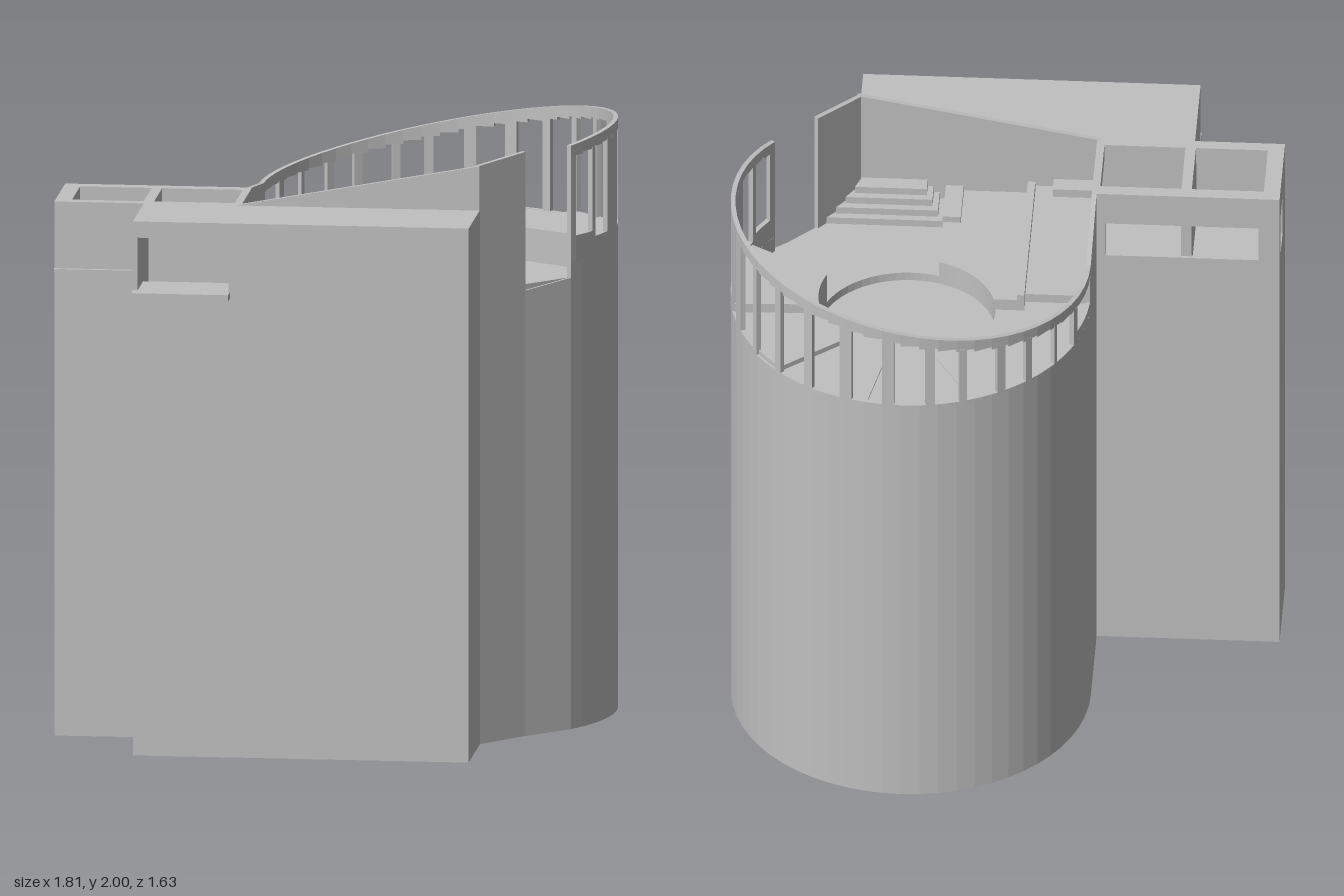
import * as THREE from 'three';
import { mergeGeometries } from 'three/addons/utils/BufferGeometryUtils.js';

const T = 0.016;                                  // wall thickness
const tower = { x: 0.3, z: -0.22, r: 0.6 };
const well = { x: 0.31, z: -0.27, r: 0.295 };
const BASE = 1.5;                                 // underside of the floors
const rad = THREE.MathUtils.degToRad;

// point on a circle, angle counted from +x towards the back
const on = (c, deg, r = c.r) => [c.x + r * Math.cos(rad(deg)), c.z - r * Math.sin(rad(deg))];

function arcPoints(c, a, b, r = c.r) {
  const n = Math.max(1, Math.ceil(Math.abs(b - a) / 6));
  return Array.from({ length: n + 1 }, (_, i) => on(c, a + (b - a) * i / n, r));
}

// upright panel from p to q (left to right seen from outside); holes are [u0, u1, y0, y1]
function panel(p, q, y0, ya, yb = ya, holes = [], t = T) {
  const dx = q[0] - p[0], dz = q[1] - p[1], len = Math.hypot(dx, dz);
  const shape = new THREE.Shape([[0, y0], [len, y0], [len, yb], [0, ya]].map(v => new THREE.Vector2(...v)));
  for (const [u0, u1, v0, v1] of holes) {
    shape.holes.push(new THREE.Path([[u0, v0], [u0, v1], [u1, v1], [u1, v0]].map(v => new THREE.Vector2(...v))));
  }
  const g = new THREE.ExtrudeGeometry(shape, { depth: t, bevelEnabled: false });
  return g.translate(0, 0, -t).rotateY(Math.atan2(-dz, dx)).translate(p[0], 0, p[1]);
}

// curved tower wall between two angles, made of short panels
function curved(a, b, bottom, top) {
  const n = Math.max(1, Math.ceil((b - a) / 6)), parts = [];
  for (let i = 0; i < n; i++) {
    const d0 = a + (b - a) * i / n, d1 = a + (b - a) * (i + 1) / n;
    parts.push(panel(on(tower, d0), on(tower, d1), bottom, top(d0), top(d1)));
  }
  return mergeGeometries(parts);
}

// flat slab from a plan outline of [x, z] points
function slab(points, y0, y1, holes = []) {
  const path = pts => pts.map(([x, z]) => new THREE.Vector2(x, -z));
  const shape = new THREE.Shape(path(points));
  holes.forEach(h => shape.holes.push(new THREE.Path(path(h))));
  return new THREE.ExtrudeGeometry(shape, { depth: y1 - y0, bevelEnabled: false })
    .rotateX(-Math.PI / 2).translate(0, y0, 0);
}
const rect = (x0, x1, z0, z1) => [[x0, z1], [x1, z1], [x1, z0], [x0, z0]];

export function createModel() {
  const model = new THREE.Group();
  const concrete = new THREE.MeshStandardMaterial({ color: 0xc0c0c0 });
  concrete.name = 'concrete grey';
  concrete.side = THREE.DoubleSide;
  const add = (name, ...geos) => {
    const mesh = new THREE.Mesh(geos.length > 1 ? mergeGeometries(geos) : geos[0], concrete);
    mesh.name = name;
    model.add(mesh);
  };

  // round tower shell, open underneath
  const rim = d => 1.88 + 0.12 * Math.cos(rad(d));
  const cornerA = [0.515, 0.43], cornerB = [0.65, 0.27], start = on(tower, -36), end = on(tower, 180);
  add('towerWall', curved(-36, 180, 0, () => 1.59));
  add('towerLeftWall',
    panel(end, [-0.3, 0.12], 0, 1.76, 1.81),
    panel([-0.3, 0.12], [-0.3, 0.43], BASE, 1.81));
  add('towerRightWall', panel(cornerA, cornerB, 0, 1.96, 1.98));
  add('entranceSill', panel(cornerB, start, 0, 1.51, 1.53));

  // window band: sloping rim beam, sills and posts between the windows
  const windows = [[-33.4, -24.6], [-22.5, -13.5], [0, 9.6], [11.5, 17.5], [22.5, 32], [34.5, 44.4],
    [47, 57], [60, 70], [74, 84], [88, 98], [101, 109], [111.5, 122], [125, 133], [135.5, 146], [147.5, 158]];
  const beamBottom = d => rim(d) - 0.035;
  const beam = [];
  const rimAngles = Array.from({ length: 37 }, (_, i) => -36 + i * 6);
  for (let i = 0; i < 36; i++) {
    const a = rimAngles[i], b = rimAngles[i + 1];
    beam.push(panel(on(tower, a), on(tower, b), Math.min(beamBottom(a), beamBottom(b)), rim(a), rim(b)));
  }
  add('rimBeam', ...beam);
  const posts = [], sills = [];
  let last = -36;
  for (const [a, b] of windows) {
    posts.push(curved(last, a, 1.58, beamBottom));
    const sill = a < -30 ? 1.67 : a < -10 ? 1.65 : a < 10 ? 1.645 : a < 30 ? 1.61 : 1.592;
    sills.push(curved(a, b, 1.58, () => sill));
    last = b;
  }
  posts.push(curved(158, 161, 1.58, beamBottom), curved(177, 180, 1.58, beamBottom));
  sills.push(curved(161, 177, 1.58, () => 1.63));
  add('windowPosts', ...posts);
  add('windowSills', ...sills);

  // front slab volume
  add('frontWall', panel([-0.61, 0.76], [0.515, 0.76], 0, 1.81, 1.81, [[0.015, 0.32, 1.575, 1.755]]));
  add('frontVolumeSides',
    panel([0.515, 0.76], cornerA, 0, 1.81),
    panel([-0.61, 0.44], [-0.61, 0.76], 0, 1.81));
  add('frontRoof', slab(rect(-0.61, 0.515, 0.43, 0.76), 1.79, 1.81));
  add('balconyLedge', slab(rect(-0.61, -0.285, 0.6, 0.815), 1.555, 1.577));
  add('balconyInnerWall', slab(rect(-0.29, -0.27, 0.44, 0.75), BASE, 1.8));
  add('slopedParapet', panel([-0.3, 0.44], [0.515, 0.44], BASE, 1.81, 1.96));

  // side block with two open shafts
  add('sideBlockWalls',
    panel([-0.3, 0.12], [-0.91, 0.12], 0, 1.81, 1.81, [[0.03, 0.54, 1.56, 1.69]]),
    panel([-0.91, 0.12], [-0.91, 0.44], 0, 1.81, 1.81, [[0.04, 0.17, 1.55, 1.7]]),
    panel([-0.91, 0.44], [-0.61, 0.44], 0, 1.81),
    panel([-0.61, 0.44], [-0.3, 0.44], BASE, 1.81));
  add('sideBlockRoof', slab(rect(-0.91, -0.29, 0.12, 0.44), 1.75, 1.81,
    [rect(-0.855, -0.615, 0.165, 0.4), rect(-0.58, -0.31, 0.165, 0.4)]));
  add('shaftDivider', slab(rect(-0.615, -0.58, 0.13, 0.43), BASE, 1.8));
  add('sideLedge', slab(rect(-0.91, -0.61, 0.435, 0.455), 1.574, 1.584));

  // base floor closing the hollow shell
  const inner = tower.r - T * 0.5;
  add('baseFloor',
    slab([cornerA, cornerB, ...arcPoints(tower, -36, 180, inner), [-0.295, 0.43]], BASE - 0.02, BASE),
    slab(rect(-0.6, 0.505, 0.43, 0.75), BASE - 0.02, BASE),
    slab(rect(-0.9, -0.3, 0.13, 0.435), BASE - 0.02, BASE));

  // ring of platforms stepping down around the round well
  const levels = [[-22, 12, 1.643], [12, 46, 1.608], [46, 79, 1.59], [79, 113, 1.585]];
  add('ringPlatforms', ...levels.map(([a, b, y]) =>
    slab([...arcPoints(tower, a, b, inner), ...arcPoints(well, b, a)], BASE, y)));
  add('leftTerrace', slab([...arcPoints(tower, 113, 180, inner), [-0.295, 0.425], [0.22, 0.425],
    ...arcPoints(well, 252, 113)], BASE, 1.588));
  add('entrancePlatform', slab([...arcPoints(tower, -36, -22, inner), ...arcPoints(well, -22, -108),
    [0.22, 0.425], [0.505, 0.425], [0.64, 0.27]], BASE, 1.53));

  // low divider, corner steps and raised bench
  add('terraceDivider', slab(rect(-0.08, -0.055, -0.25, 0.4), 1.58, 1.65),
    slab(rect(-0.055, 0.02, -0.25, -0.23), 1.58, 1.63));
  add('raisedTerrace', slab(rect(-0.29, -0.08, -0.2, 0.42), 1.58, 1.62));
  add('cornerSteps', ...[0, 1, 2, 3].map(i =>
    slab([[0.22 + i * 0.02, 0.42], [0.5, 0.42], [0.61 - i * 0.03, 0.29 + i * 0.025],
      [0.22 + i * 0.02, 0.29 + i * 0.025]], 1.52, 1.555 + i * 0.025)));
  add('upperSteps', slab(rect(0.16, 0.22, 0.24, 0.42), 1.58, 1.61),
    slab(rect(-0.29, -0.14, 0.36, 0.42), 1.6, 1.65));
  return model;
}
